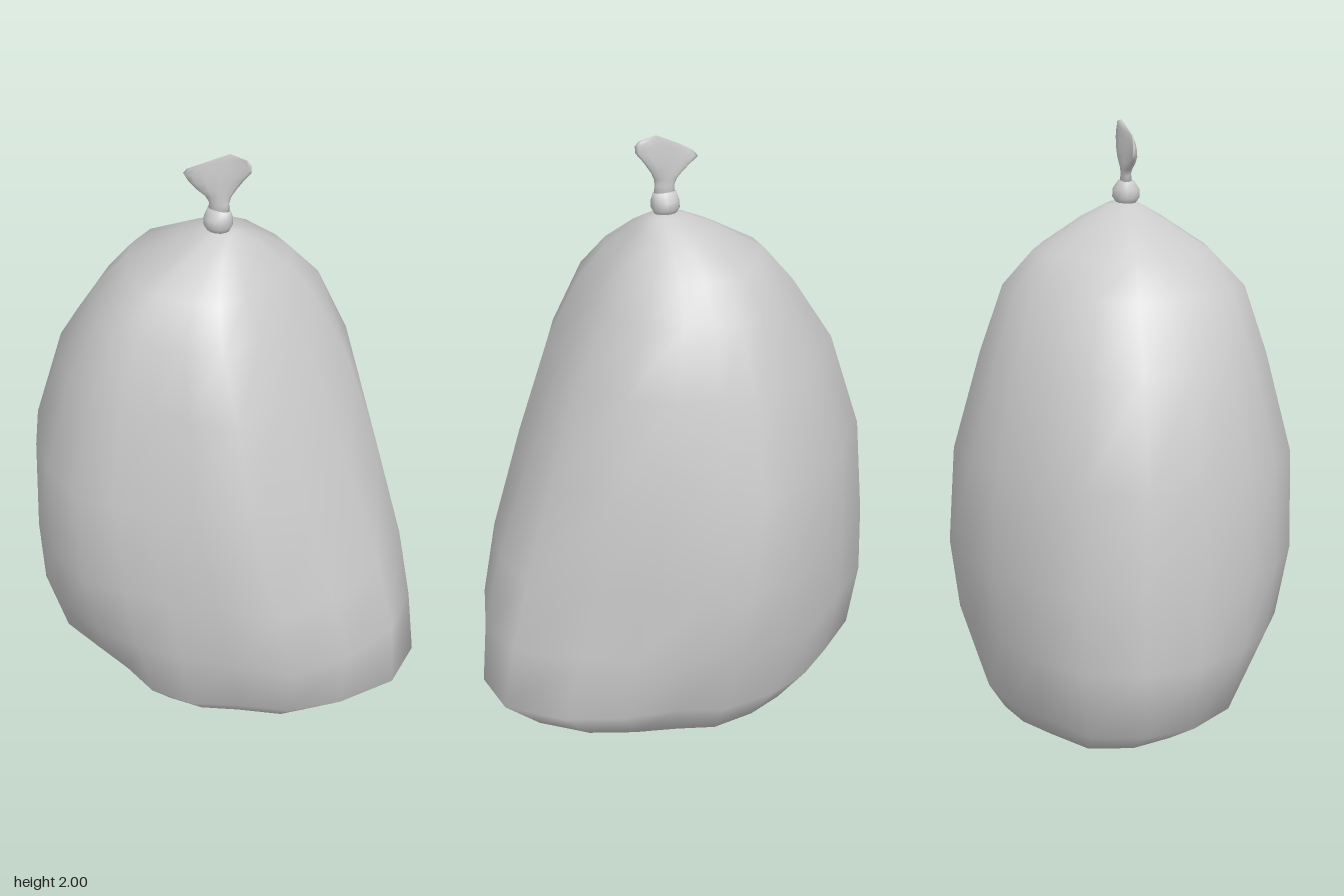
import * as THREE from 'three';

// Skins closed rings (ordered right, front, left, back) from bottom to top, closing both ends
function loft(rings, bottom, top) {
  const n = rings[0].length, index = [];
  const points = [...rings.flat(), bottom, top];
  const b = rings.length * n, t = b + 1, last = b - n;
  for (let j = 0; j < n; j++) {
    const k = (j + 1) % n;
    for (let i = 0; i < rings.length - 1; i++) {
      const r = i * n, u = r + n;
      index.push(r + j, u + j, r + k, r + k, u + j, u + k);
    }
    index.push(b, j, k, t, last + k, last + j);
  }
  const geometry = new THREE.BufferGeometry().setFromPoints(points);
  geometry.setIndex(index);
  geometry.computeVertexNormals();
  return geometry;
}

// Irregular plan outline of the bag, clockwise from the back
const outline = [
  [-0.01, -0.55], [0.15, -0.5], [0.32, -0.42], [0.49, -0.335], [0.655, -0.175],
  [0.67, 0.03], [0.59, 0.24], [0.47, 0.395], [0.28, 0.46], [0.12, 0.515],
  [-0.03, 0.54], [-0.19, 0.55], [-0.37, 0.475], [-0.5, 0.375], [-0.62, 0.21],
  [-0.67, 0.03], [-0.65, -0.16], [-0.49, -0.31], [-0.36, -0.42], [-0.2, -0.495],
];

// Height, extents in x (min, max) and z (back, front), then the extra bulge
// of the back left and front left corners
const bagLevels = [
  [0.02, -0.18, 0.3, -0.17, 0.28, 0, 0],
  [0.08, -0.5, 0.55, -0.425, 0.4, 0, -0.03],
  [0.18, -0.64, 0.67, -0.485, 0.5, 0.01, -0.05],
  [0.4, -0.67, 0.655, -0.525, 0.525, -0.04, 0.02],
  [0.64, -0.66, 0.595, -0.55, 0.55, -0.02, 0.03],
  [0.97, -0.635, 0.48, -0.53, 0.54, 0.03, 0.04],
  [1.29, -0.535, 0.365, -0.44, 0.46, 0.06, 0.05],
  [1.5, -0.4, 0.255, -0.365, 0.395, 0.055, 0.04],
  [1.61, -0.31, 0.185, -0.265, 0.305, 0.035, 0.02],
  [1.7, -0.155, 0.105, -0.12, 0.16, 0.01, 0.01],
  [1.74, -0.06, 0.06, -0.03, 0.08, 0, 0],
];

// Soft folds: centre, radius, and the inward push towards the axis
const folds = [
  { at: new THREE.Vector3(-0.22, 0.18, 0.47), radius: 0.17, push: 0.09 },
  { at: new THREE.Vector3(-0.33, 0.08, 0.28), radius: 0.2, push: 0.08 },
  { at: new THREE.Vector3(0.12, 0.18, -0.46), radius: 0.17, push: 0.05 },
  { at: new THREE.Vector3(-0.16, 1.64, 0.2), radius: 0.12, push: 0.05 },
];

function bagRing([y, x0, x1, z0, z1, backBulge, frontBulge]) {
  return outline.map(([x, z]) => {
    const p = new THREE.Vector3(
      THREE.MathUtils.mapLinear(x, -0.67, 0.67, x0, x1), y,
      THREE.MathUtils.mapLinear(z, -0.55, 0.55, z0, z1));
    // strongest on the diagonals of the +x half, fading to nothing on the axes
    const angle = Math.atan2(z / 0.55, x / 0.67);
    const corner = x > 0 ? Math.sin(2 * angle) ** 2 : 0;
    let move = corner * (z < 0 ? backBulge : frontBulge);
    for (const { at, radius, push } of folds) {
      move -= push * Math.exp(-((p.distanceTo(at) / radius) ** 2));
    }
    const scale = 1 + move / Math.hypot(p.x, p.z);
    p.x *= scale;
    p.z *= scale;
    return p;
  });
}

// Left end (x, y), right end (x, y) and half thickness of each tilted ring
const knotLevels = [
  [-0.036, 1.74, 0.036, 1.74, 0.03],
  [-0.046, 1.76, 0.046, 1.76, 0.044],
  [-0.044, 1.785, 0.046, 1.785, 0.043],
  [-0.036, 1.81, 0.041, 1.81, 0.026],
];
const flapLevels = [
  [-0.033, 1.8, 0.039, 1.805, 0.02],
  [-0.031, 1.83, 0.037, 1.835, 0.016],
  [-0.042, 1.85, 0.041, 1.858, 0.018],
  [-0.068, 1.868, 0.056, 1.885, 0.018],
  [-0.095, 1.888, 0.08, 1.92, 0.015],
  [-0.116, 1.908, 0.106, 1.952, 0.011],
  [-0.1, 1.928, 0.108, 1.975, 0.008],
  [-0.05, 1.957, 0.095, 1.99, 0.005],
];

function tieRing([xl, yl, xr, yr, thickness]) {
  return Array.from({ length: 14 }, (_, i) => {
    const a = i / 14 * Math.PI * 2, t = (Math.cos(a) + 1) / 2;
    const x = THREE.MathUtils.lerp(xl, xr, t), y = THREE.MathUtils.lerp(yl, yr, t);
    // the flap curls in a gentle S out of plane
    const sway = 0.018 * Math.sin(x * 22) * THREE.MathUtils.smoothstep(y, 1.82, 1.9);
    return new THREE.Vector3(x, y, 0.035 - sway + thickness * Math.sin(a));
  });
}

export function createModel() {
  const group = new THREE.Group();
  group.name = 'tiedBag';
  const material = new THREE.MeshStandardMaterial({ color: 0xcccccc });
  const add = (name, geometry) => {
    const mesh = new THREE.Mesh(geometry, material);
    mesh.name = name;
    group.add(mesh);
  };

  add('bagBody', loft(bagLevels.map(bagRing),
    new THREE.Vector3(0.16, 0, 0.14), new THREE.Vector3(0, 1.75, 0.03)));
  add('knot', loft(knotLevels.map(tieRing),
    new THREE.Vector3(0, 1.73, 0.035), new THREE.Vector3(0, 1.82, 0.035)));
  add('gatheredFlap', loft(flapLevels.map(tieRing),
    new THREE.Vector3(0, 1.79, 0.035), new THREE.Vector3(0.035, 2, 0.025)));
  return group;
}
